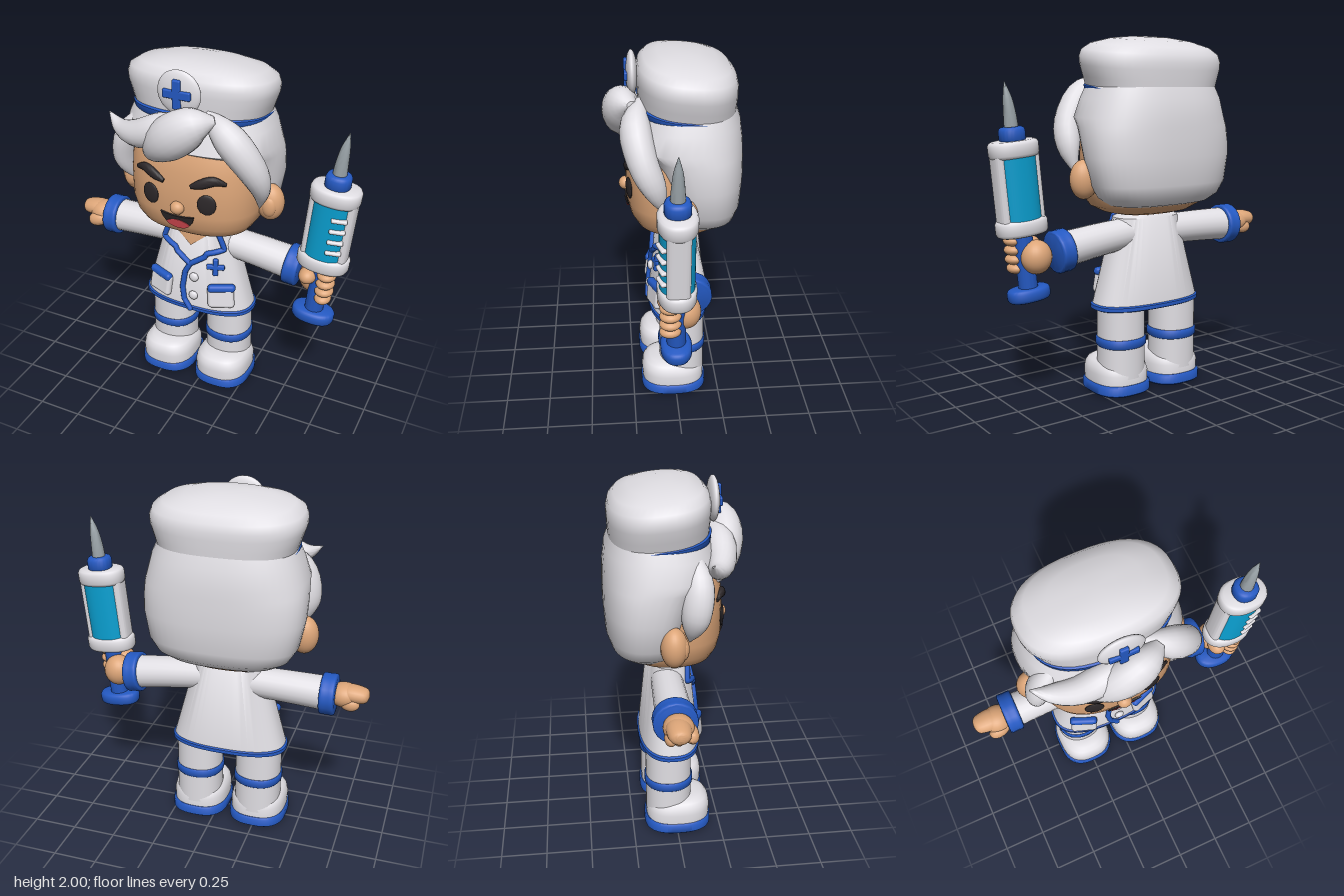
import * as THREE from 'three';
import { toCreasedNormals } from 'three/addons/utils/BufferGeometryUtils.js';
import { RoundedBoxGeometry } from 'three/addons/geometries/RoundedBoxGeometry.js';

const paint = (name, color) => {
  const m = new THREE.MeshStandardMaterial({ color });
  m.name = name;
  return m;
};
const V = (x, y, z) => new THREE.Vector3(x, y, z);
const CX = -0.07; // middle line of the body

// Closed skin over a list of rings
function skin(rings, crease = 0.8) {
  const n = rings[0].length, pos = [], idx = [];
  rings.forEach(r => r.forEach(p => pos.push(p.x, p.y, p.z)));
  for (let i = 0; i < rings.length - 1; i++) for (let j = 0; j < n; j++) {
    const a = i * n + j, b = i * n + (j + 1) % n, c = a + n, d = b + n;
    idx.push(a, c, b, b, c, d);
  }
  [0, rings.length - 1].forEach((i, end) => {
    const c = V(0, 0, 0);
    rings[i].forEach(p => c.addScaledVector(p, 1 / n));
    const k = pos.length / 3;
    pos.push(c.x, c.y, c.z);
    for (let j = 0; j < n; j++) {
      const a = i * n + j, b = i * n + (j + 1) % n;
      end ? idx.push(k, b, a) : idx.push(k, a, b);
    }
  });
  const g = new THREE.BufferGeometry();
  g.setAttribute('position', new THREE.Float32BufferAttribute(pos, 3));
  g.setIndex(idx);
  return toCreasedNormals(g, crease);
}
const pw = (v, n) => Math.sign(v) * Math.abs(v) ** (2 / n);

// Upright body from superellipse sections [y, centre z, half width, half depth]
function loft(secs, cx = CX, n = 2.5, shear = 0, crease = 0.8) {
  return skin(secs.map(([y, cz, rx, rz]) => Array.from({ length: 48 }, (_, j) => {
    const a = j / 48 * Math.PI * 2, z = cz + rz * pw(Math.sin(a), n);
    return V(cx + rx * pw(Math.cos(a), n), y + shear * z, z);
  })), crease);
}

// Sweep along a path; radii are [half width, half thickness], out is the thickness direction
function sweep(pts, radii, out = V(0, 0, 1), steps = 20) {
  const path = new THREE.CatmullRomCurve3(pts.map(p => V(...p)), false, 'catmullrom');
  const size = new THREE.CatmullRomCurve3(radii.map(r => V(r[0], r[1], 0)), false, 'catmullrom');
  return skin(Array.from({ length: steps + 1 }, (_, i) => {
    const t = (1 - Math.cos(Math.PI * i / steps)) / 2;
    const p = path.getPoint(t), s = size.getPoint(t), T = path.getTangent(t);
    const N = out.clone().addScaledVector(T, -out.dot(T)).normalize(), U = T.clone().cross(N);
    return Array.from({ length: 20 }, (_, j) => {
      const a = j / 20 * Math.PI * 2;
      return p.clone().addScaledVector(U, Math.max(s.x, 0.002) * Math.cos(a))
        .addScaledVector(N, Math.max(s.y, 0.002) * Math.sin(a));
    });
  }));
}

// Depth of the front of a lofted body at x, y
function frontZ(secs, x, y, n = 2.5) {
  let i = 0;
  while (i < secs.length - 2 && secs[i + 1][0] < y) i++;
  const a = secs[i], b = secs[i + 1], t = (y - a[0]) / (b[0] - a[0]);
  const [, cz, rx, rz] = a.map((v, k) => v + (b[k] - v) * t);
  return cz + rz * Math.max(0, 1 - Math.abs((x - CX) / rx) ** n) ** (1 / n);
}

const HEAD = [[1.02, -.02, .18, .13], [1.035, -.02, .25, .185], [1.07, -.02, .32, .235], [1.12, -.02, .355, .262],
  [1.2, -.02, .375, .28], [1.35, -.02, .375, .28], [1.45, -.02, .367, .273], [1.53, -.02, .35, .258], [1.62, -.02, .31, .22]];
const COAT = [[.5, -.025, .337, .168], [1.0, -.025, .2, .118], [1.025, -.025, .14, .09]];

export function createModel() {
  const model = new THREE.Group();
  model.name = 'nurseFigure';
  const white = paint('white', 0xe0dee3), skinTone = paint('skin', 0xdca578), blue = paint('blue', 0x2459c2),
    cyan = paint('cyan liquid', 0x0a9fd0), dark = paint('dark brown', 0x2c2729), red = paint('tongue red', 0xd94a52),
    steel = paint('steel', 0x9aa3a8);

  const add = (name, geo, mat, parent = model) => {
    const m = new THREE.Mesh(geo, mat);
    m.name = name;
    parent.add(m);
    return m;
  };
  const ball = (name, mat, p, r) => {
    const m = add(name, new THREE.SphereGeometry(1, 28, 20), mat);
    m.position.set(...p);
    m.scale.set(...r);
    return m;
  };
  const stick = (mesh, secs, x, y, off = 0) => {
    const h = 0.03, z = frontZ(secs, x, y);
    const n = V(-(frontZ(secs, x + h, y) - frontZ(secs, x - h, y)) / (2 * h),
      -(frontZ(secs, x, y + h) - frontZ(secs, x, y - h)) / (2 * h), 1).normalize();
    mesh.position.set(x, y, z).addScaledVector(n, off);
    mesh.lookAt(mesh.position.clone().add(n));
    return mesh;
  };
  const cross = (name, s, w, d) => {
    const g = new THREE.Group();
    g.name = name;
    add(name + 'Upright', new RoundedBoxGeometry(w, s, d, 2, .008), blue, g);
    add(name + 'Bar', new RoundedBoxGeometry(s, w, d, 2, .008), blue, g);
    model.add(g);
    return g;
  };

  // Head, neck and face
  add('head', loft(HEAD), skinTone);
  add('neck', loft([[.93, -.025, .1, .1], [1.08, -.025, .11, .1]], CX, 2), skinTone);
  ball('nose', skinTone, [CX, 1.245, .265], [.04, .037, .035]);
  for (const s of [-1, 1]) {
    ball('ear', skinTone, [CX + s * .415, 1.23, -.035], [.08, .108, .07]);
    ball('innerEar', skinTone, [CX + s * .425, 1.225, .012], [.042, .062, .03]);
    const eye = add('eye', new THREE.SphereGeometry(1, 28, 16), dark);
    eye.scale.set(.052, .06, .012);
    stick(eye, HEAD, CX + s * .165, 1.29, .002);
    const brow = [[.08, 1.388], [.135, 1.41], [.2, 1.432], [.262, 1.413]].map(([d, y]) =>
      [CX + s * d, y, frontZ(HEAD, CX + s * d, y) + .006]);
    add('eyebrow', sweep(brow, [[.012, .01], [.027, .018], [.027, .018], [.01, .008]]), dark);
  }
  const mouth = new THREE.Shape();
  mouth.moveTo(-.098, .05);
  mouth.quadraticCurveTo(0, .02, .098, .05);
  mouth.bezierCurveTo(.085, -.075, -.085, -.075, -.098, .05);
  const tongue = new THREE.Shape();
  tongue.moveTo(-.07, -.012);
  tongue.bezierCurveTo(-.03, .022, .03, .022, .07, -.012);
  tongue.bezierCurveTo(.045, -.056, -.045, -.056, -.07, -.012);
  const plate = s => new THREE.ExtrudeGeometry(s, { depth: .009, bevelEnabled: false, curveSegments: 16 });
  stick(add('mouth', plate(mouth), dark), HEAD, CX, 1.16, 0);
  stick(add('tongue', plate(tongue), red), HEAD, CX, 1.16, .003);

  // Hair
  add('hairCap', loft([[1.075, -.13, .24, .11], [1.09, -.145, .31, .155], [1.13, -.155, .37, .19], [1.2, -.155, .413, .212],
    [1.35, -.142, .442, .235], [1.45, -.12, .445, .257], [1.51, -.1, .442, .275], [1.56, -.066, .435, .307],
    [1.66, -.075, .405, .285], [1.76, -.075, .36, .25]]), white);
  add('frontLock', sweep([[.13, 1.77, .22], [.03, 1.74, .27], [-.1, 1.65, .275], [-.21, 1.55, .225], [-.29, 1.475, .16]],
    [[.02, .03], [.1, .09], [.118, .1], [.075, .075], [.004, .004]]), white);
  add('sweptLock', sweep([[.0, 1.74, .2], [-.15, 1.68, .235], [-.3, 1.62, .23], [-.43, 1.615, .19], [-.525, 1.67, .15]],
    [[.03, .03], [.085, .08], [.078, .075], [.045, .05], [.003, .004]]), white);
  add('leftSideLock', sweep([[.06, 1.77, .17], [.2, 1.68, .21], [.31, 1.53, .18], [.345, 1.39, .12], [.325, 1.24, .07]],
    [[.03, .03], [.085, .08], [.08, .08], [.056, .065], [.004, .004]], V(.5, 0, 1)), white);
  add('rightSideLock', sweep([[-.36, 1.68, .08], [-.44, 1.55, .09], [-.478, 1.42, .08], [-.468, 1.33, .065], [-.44, 1.24, .05]],
    [[.03, .03], [.065, .08], [.064, .08], [.045, .06], [.004, .004]], V(-.5, 0, 1)), white);

  // Hat with badge
  add('hat', loft([[1.7, -.075, .365, .26], [1.78, -.075, .39, .265], [1.84, -.075, .41, .268], [1.88, -.075, .414, .268],
    [1.92, -.075, .4, .258], [1.955, -.075, .345, .228], [1.985, -.075, .23, .155], [2.0, -.075, .1, .07]], CX, 2.5, .1, 1.2), white);
  add('hatBand', loft([[1.685, -.075, .365, .26], [1.693, -.075, .376, .27], [1.728, -.075, .381, .273],
    [1.738, -.075, .37, .262]], CX, 2.5, .1), blue);
  ball('hatBadge', white, [CX, 1.88, .215], [.122, .12, .032]);
  cross('hatCross', .155, .046, .03).position.set(CX, 1.88, .242);

  // Coat, trim and pockets
  add('coat', loft(COAT), white);
  add('coatHem', loft([[.488, -.025, .33, .162], [.494, -.025, .343, .174], [.515, -.025, .342, .174],
    [.522, -.025, .332, .165]]), blue);
  const trim = (name, pts) => {
    const flat = new THREE.CatmullRomCurve3(pts.map(p => V(p[0], p[1], 0)), false, 'catmullrom', .1);
    const path = flat.getPoints(40).map(p => V(p.x, p.y, frontZ(COAT, p.x, p.y) + .007));
    add(name, new THREE.TubeGeometry(new THREE.CatmullRomCurve3(path), 80, .016, 10), blue);
    for (const p of [path[0], path[40]]) ball(name + 'End', blue, p.toArray(), [.016, .016, .016]);
  };
  for (const s of [-1, 1]) trim('collarTrim', [[CX + s * .155, 1.005], [CX + s * .188, .915], [CX + s * .1, .885],
    [CX + s * .085, .86], [CX, .8]]);
  trim('frontTrim', [[CX, .8], [-.1, .74], [-.113, .64], [-.1, .56], [-.06, .505]]);
  const neckline = new THREE.Shape();
  neckline.moveTo(CX, .92);
  for (let i = 4; i >= -4; i--) neckline.lineTo(CX + i * .024, 1.0);
  const vGeo = new THREE.ShapeGeometry(neckline), vp = vGeo.attributes.position;
  for (let i = 0; i < vp.count; i++) vp.setZ(i, frontZ(COAT, vp.getX(i), vp.getY(i)) + .009);
  vGeo.computeVertexNormals();
  add('openNeckline', vGeo, skinTone);
  for (const y of [.72, .6]) ball('button', white, [-.042, y, frontZ(COAT, -.042, y) + .01], [.028, .028, .017]);
  stick(cross('chestCross', .105, .03, .024), COAT, .08, .805, .006);
  for (const s of [-1, 1]) {
    const x = CX + s * .19;
    stick(add('pocket', new RoundedBoxGeometry(.155, .135, .044, 4, .021), white), COAT, x, .62, .006).rotateZ(s * .06);
    stick(add('pocketFlap', new RoundedBoxGeometry(.162, .046, .046, 3, .02), blue), COAT, x, .677, .011).rotateZ(s * .06);
  }

  // Legs and shoes
  for (const s of [-1, 1]) {
    const x = CX + s * .18;
    add('leg', loft([[.1, -.04, .135, .13], [.52, -.04, .132, .128]], x, 2.2), white);
    add('legBand', loft([[.275, -.04, .134, .13], [.283, -.04, .141, .137], [.32, -.04, .141, .137],
      [.328, -.04, .134, .13]], x, 2.2), blue);
    add('shoe', loft([[.05, .012, .16, .18], [.12, .014, .163, .182], [.155, .018, .155, .172], [.18, .026, .137, .148],
      [.195, .035, .105, .112], [.2, .045, .06, .06]], x, 2.6), white);
    add('sole', loft([[.002, .01, .16, .178], [.012, .01, .17, .19], [.055, .01, .17, .19], [.066, .01, .16, .18]], x, 2.7), blue);
    add('solePatch', loft([[0, .01, .075, .085], [.008, .01, .075, .085]], x, 2.5), white);
  }

  // Arms and cuffs
  const cuff = [[.097, .097], [.116, .116], [.116, .116], [.116, .116], [.097, .097]];
  add('rightSleeve', sweep([[-.15, .91, -.045], [-.4, .908, -.047], [-.62, .902, -.048]], [[.085, .085], [.091, .092], [.096, .098]]), white);
  add('leftSleeve', sweep([[.02, .918, -.045], [.26, .893, -.046], [.48, .864, -.046]], [[.085, .085], [.091, .092], [.096, .098]]), white);
  add('rightCuff', sweep([-.6, -.607, -.642, -.678, -.685].map(x => [x, .9, -.048]), cuff), blue);
  add('leftCuff', sweep([.46, .467, .502, .538, .545].map(x => [x, .925 - x * .132, -.046]), cuff), blue);

  // Pointing hand
  ball('rightPalm', skinTone, [-.725, .905, -.04], [.09, .068, .08]);
  add('rightIndexFinger', sweep([[-.7, .92, -.045], [-.76, .922, -.045], [-.83, .917, -.045], [-.855, .914, -.045], [-.864, .913, -.045]],
    [[.04, .05], [.05, .065], [.044, .056], [.03, .036], [.003, .003]]), skinTone);
  for (const z of [-.085, -.045]) ball('rightCurledFinger', skinTone, [-.765, .872, z], [.052, .038, .032]);
  add('rightThumb', sweep([[-.69, .89, .01], [-.73, .878, .025], [-.775, .868, .022], [-.8, .862, .015]],
    [[.03, .03], [.04, .034], [.037, .032], [.004, .004]]), skinTone);

  // Gripping hand
  ball('leftPalm', skinTone, [.63, .835, -.015], [.085, .092, .08]);
  ball('leftThumb', skinTone, [.618, .892, .07], [.05, .046, .06]);
  for (let i = 0; i < 4; i++) ball('leftFinger', skinTone, [.724 - i * .004, .92 - i * .05, .07], [.052 - (i === 3) * .006, .03, .056]);

  // Syringe
  const syringe = new THREE.Group();
  syringe.name = 'syringe';
  syringe.position.set(.65, .6, .035);
  syringe.rotation.z = -.094;
  model.add(syringe);
  const part = (name, mat, secs, n = 2.3, x = 0) => add(name, loft(secs.map(([y, rx, rz]) => [y, 0, rx, rz]), x, n), mat, syringe);
  const ring = (name, mat, y0, y1, rx, rz) => part(name, mat, [[y0, rx - .02, rz - .02], [y0 + .006, rx - .007, rz - .007],
    [y0 + .02, rx, rz], [y1 - .02, rx, rz], [y1 - .006, rx - .007, rz - .007], [y1, rx - .02, rz - .02]]);
  ring('plungerBase', blue, -.005, .068, .12, .082);
  part('plungerRod', blue, [[.05, .052, .05], [.38, .052, .05]], 2);
  ring('lowerCollar', white, .355, .445, .143, .1);
  part('liquidBarrel', cyan, [[.4, .112, .09], [.8, .112, .09]]);
  for (const s of [-1, 1]) part('barrelRail', white, [[.4, .03, .06], [.8, .03, .06]], 2.6, s * .098);
  ring('upperCollar', white, .765, .855, .135, .1);
  ring('nozzle', blue, .84, .925, .068, .066);
  for (let i = 0; i < 4; i++) {
    const tick = add('measureMark', new RoundedBoxGeometry(.085, .022, .04, 3, .01), white, syringe);
    tick.position.set(.06, .505 + i * .066, .077);
    tick.rotation.y = .3;
  }
  add('needle', sweep([[0, .9, 0], [0, .98, 0], [.004, 1.07, 0], [.012, 1.155, 0]],
    [[.038, .038], [.034, .034], [.024, .024], [.003, .003]]), steel, syringe);
  return model;
}
